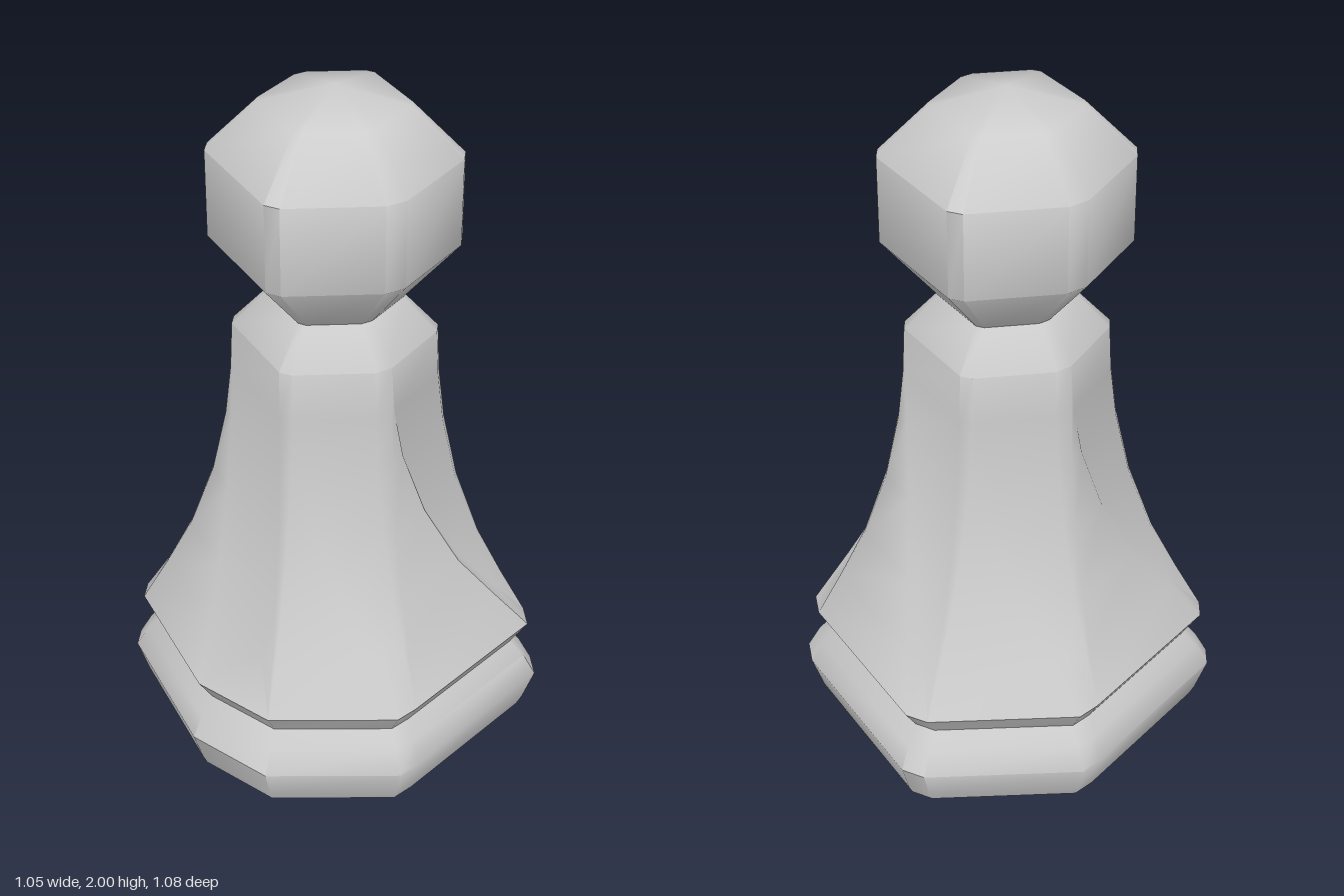
import * as THREE from 'three';
import { toCreasedNormals } from 'three/addons/utils/BufferGeometryUtils.js';

// Six rounded corners per outline, two [x, z] points each, clockwise from the back.
const HEAD = [
  [-0.03, -0.315], [0.03, -0.315], [0.265, -0.2], [0.29, -0.165],
  [0.29, 0.165], [0.265, 0.2], [0.03, 0.315], [-0.03, 0.315],
  [-0.265, 0.2], [-0.29, 0.165], [-0.29, -0.165], [-0.265, -0.2],
];
const BASE = [
  [0.04, -0.53], [0.11, -0.54], [0.49, -0.31], [0.525, -0.25],
  [0.505, 0.29], [0.475, 0.36], [-0.02, 0.525], [-0.09, 0.54],
  [-0.42, 0.36], [-0.525, 0.12], [-0.495, -0.33], [-0.46, -0.38],
];

// Each head corner is paired with two base corners, giving the twisted facets.
const PAIRS = [];
for (let k = 0; k < 6; k++) {
  const a = 2 * k, prev = (a + 10) % 12;
  PAIRS.push([a, prev], [a, prev + 1], [a, a], [a + 1, a]);
}

// Cross-section at height y: head outline times h plus base outline times b.
const section = ([y, h, b]) => PAIRS.map(([i, j]) => new THREE.Vector3(
  HEAD[i][0] * h + BASE[j][0] * b, y, HEAD[i][1] * h + BASE[j][1] * b));

function loft(name, levels, material, crease) {
  const rings = levels.map(section);
  const positions = [];
  const triangle = (a, b, c) => {
    if (new THREE.Triangle(a, b, c).getArea() < 1e-7) return;
    for (const p of [a, b, c]) positions.push(p.x, p.y, p.z);
  };
  for (let r = 0; r + 1 < rings.length; r++) {
    for (let i = 0; i < PAIRS.length; i++) {
      const n = (i + 1) % PAIRS.length;
      const lo = rings[r], hi = rings[r + 1];
      triangle(lo[i], hi[i], lo[n]);
      triangle(lo[n], hi[i], hi[n]);
    }
  }
  const geometry = new THREE.BufferGeometry();
  geometry.setAttribute('position', new THREE.Float32BufferAttribute(positions, 3));
  const mesh = new THREE.Mesh(toCreasedNormals(geometry, crease), material);
  mesh.name = name;
  return mesh;
}

export function createModel() {
  const model = new THREE.Group();
  model.name = 'pawn';
  const grey = new THREE.MeshStandardMaterial({ color: 0xcccccc });
  grey.name = 'light grey';

  // Foot with a flat underside, bulging out and back in to the groove
  model.add(loft('base', [
    [0, 0, 0], [0, 0, 0.92], [0.03, 0, 0.945], [0.125, 0, 1], [0.19, 0, 0.94], [0.24, 0, 0.87],
  ], grey, 0.75));

  // Flared skirt rising to the collar and neck
  model.add(loft('body', [
    [0.24, 0, 0.87], [0.31, 0, 0.95], [0.45, 0.2, 0.71], [0.6, 0.42, 0.46],
    [0.8, 0.62, 0.23], [1.0, 0.76, 0.08], [1.15, 0.815, 0.02], [1.29, 0.83, 0], [1.39, 0.55, 0],
  ], grey, 0.75));

  // Faceted ball
  model.add(loft('head', [
    [1.39, 0.55, 0], [1.56, 1, 0], [1.81, 1, 0], [1.95, 0.59, 0], [2, 0, 0],
  ], grey, 0.75));

  return model;
}
